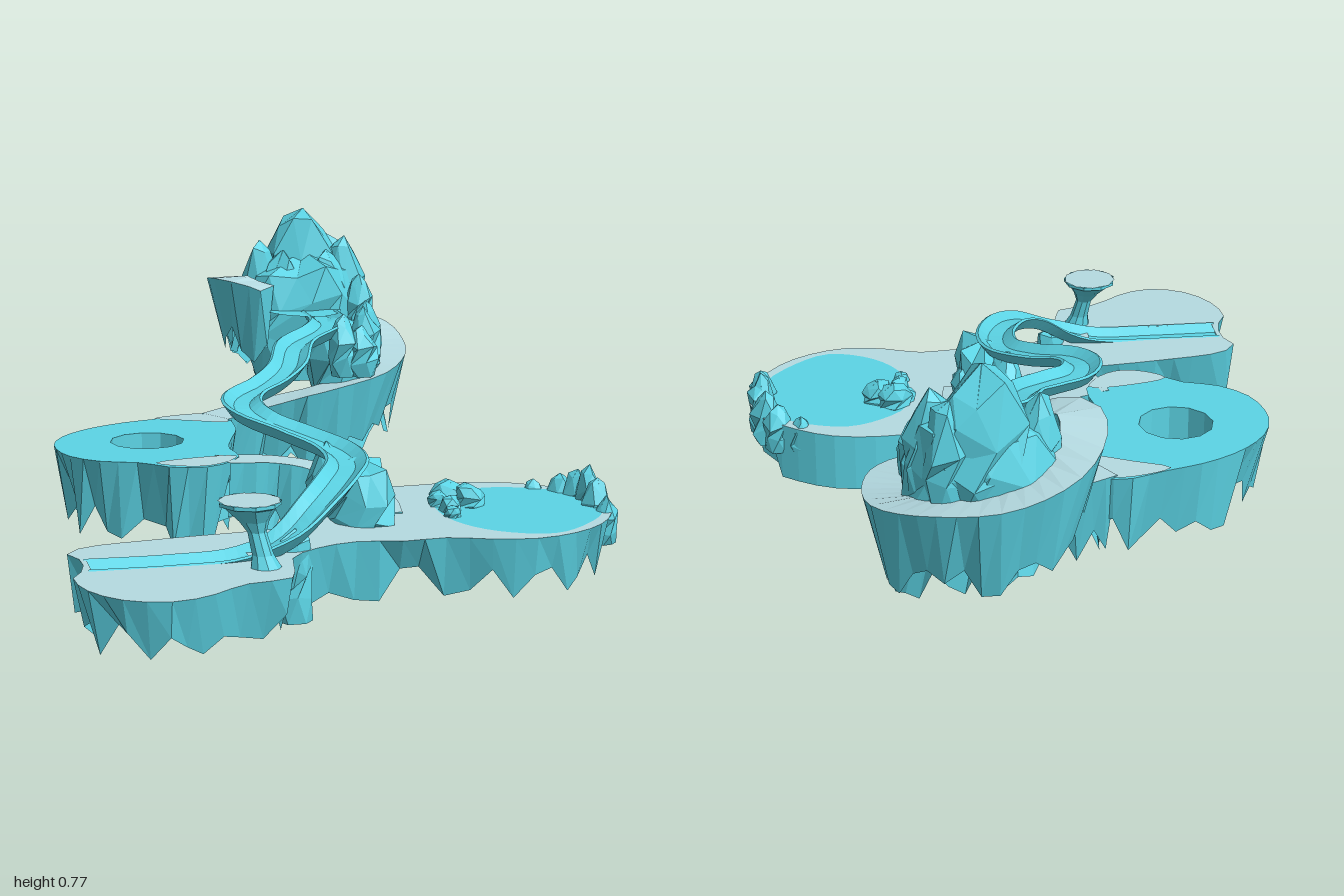
import * as THREE from 'three';

const make = (color) => new THREE.MeshStandardMaterial({ color, flatShading: true, side: THREE.DoubleSide });

export function createModel() {
  const model = new THREE.Group();
  const cyan = make(0x5cd5e6); cyan.name = 'cyanRock';
  const pale = make(0xb5dbe2); pale.name = 'paleSand';
  let seed = 7;
  const rand = () => (seed = (seed * 16807) % 2147483647) / 2147483647;
  const jit = (a) => (rand() * 2 - 1) * a;
  const V = (x, y, z) => new THREE.Vector3(x, y, z);

  function add(name, geo, mat, parent = model) {
    const m = new THREE.Mesh(geo, mat);
    m.name = name;
    parent.add(m);
    return m;
  }

  // Surface through rows of points
  function loft(rows, closed) {
    const n = rows[0].length, idx = [];
    for (let r = 0; r < rows.length - 1; r++) {
      for (let i = 0; i < (closed ? n : n - 1); i++) {
        const j = (i + 1) % n, a = r * n + i, b = r * n + j;
        idx.push(a, b, a + n, b, b + n, a + n);
      }
    }
    const g = new THREE.BufferGeometry().setFromPoints(rows.flat());
    g.setIndex(idx);
    g.computeVertexNormals();
    return g;
  }

  // Smooth closed outline from a few (x, z) pairs
  const outline = (pts, n) => new THREE.CatmullRomCurve3(
    pts.map(([x, z]) => V(x, 0, z)), true, 'centripetal').getSpacedPoints(n).slice(0, n);

  function plate(name, pts, y, mat, holes = []) {
    const flat = (a) => a.map((p) => new THREE.Vector2(p.x, -p.z));
    const s = new THREE.Shape(flat(pts));
    holes.forEach((h) => s.holes.push(new THREE.Path(flat(h))));
    const m = add(name, new THREE.ShapeGeometry(s).rotateX(-Math.PI / 2), mat);
    m.position.y = y;
  }

  // Jagged rock wall hanging below a closed outline, tapering inward
  function skirt(name, pts, y, low, high, taper, isEven = () => false) {
    const n = pts.length;
    const area = pts.reduce((s, p, i) => s + p.x * pts[(i + 1) % n].z - pts[(i + 1) % n].x * p.z, 0);
    const inset = (p, i, d) => {
      const t = pts[(i + 1) % n].clone().sub(pts[(i + n - 1) % n]).normalize();
      return V(p.x - t.z * d * Math.sign(area), 0, p.z + t.x * d * Math.sign(area));
    };
    const top = pts.map((p) => V(p.x, y, p.z));
    const bottom = pts.map((p, i) => {
      const even = isEven(p), q = inset(p, i, even ? 0 : taper * (0.5 + rand()));
      q.y = even ? low : (i % 3 === 0 ? low : low + (high - low) * rand()) + rand() * 0.015;
      return q;
    });
    add(name, loft([top, bottom], true), cyan);
  }

  // Path with a pale top and hanging rock sides; points are [x, y, z]
  function walkway(name, pts, half, depth, n, spread) {
    const g = new THREE.Group();
    g.name = name;
    model.add(g);
    const curve = new THREE.CatmullRomCurve3(pts.map((p) => V(...p)), false, 'centripetal');
    const L = [], R = [], LB = [], RB = [];
    for (let i = 0; i <= n; i++) {
      const p = curve.getPointAt(i / n), t = curve.getTangentAt(i / n);
      const s = V(-t.z, 0, t.x).normalize();
      L.push(p.clone().addScaledVector(s, -half));
      R.push(p.clone().addScaledVector(s, half));
      const drop = (k) => {
        const q = p.clone().addScaledVector(s, k * half * (spread + jit(0.2)));
        q.y = Math.max(0.02, p.y - depth * (0.65 + 0.5 * rand()));
        return q;
      };
      LB.push(drop(-1));
      RB.push(drop(1));
    }
    add(name + 'Top', loft([L, R], false), pale, g);
    add(name + 'LeftSide', loft([L, LB], false), cyan, g);
    add(name + 'RightSide', loft([R, RB], false), cyan, g);
    add(name + 'End', loft([[L[n], R[n]], [LB[n], RB[n]]], false), cyan, g);
  }

  // Faceted rock with an uneven pointed or blunt crown
  function crag(name, x, z, y0, y1, rx, rz, n = 9, blunt = 0.5) {
    const rows = [[0, 0.75], [0.3, 0.95], [0.6, 0.95], [0.85, blunt], [1, 0.02]].map(([t, f], r) =>
      Array.from({ length: n }, (_, i) => {
        const a = (i + (r % 2) * 0.5) / n * Math.PI * 2, k = f * (1 + jit(0.16));
        const y = y0 + (y1 - y0) * (t + (r && r < 4 ? jit(0.09) : 0));
        return V(x + Math.cos(a) * rx * k, y, z + Math.sin(a) * rz * k);
      }));
    add(name, loft(rows, true), cyan);
  }

  // Lower island: a beach on one side and a pond on the other
  const shore = outline([[-0.68, 0.57], [-0.64, 0.52], [-0.45, 0.48], [-0.2, 0.45], [-0.08, 0.43],
    [-0.04, 0.36], [-0.02, 0.25], [0.04, 0.15], [0.12, 0.08], [0.22, 0.09], [0.36, 0.08], [0.48, 0.1],
    [0.58, 0.16], [0.66, 0.24], [0.685, 0.36], [0.66, 0.46], [0.61, 0.55], [0.53, 0.62], [0.42, 0.66],
    [0.32, 0.65], [0.2, 0.61], [0.1, 0.62], [0, 0.6], [-0.1, 0.63], [-0.18, 0.7], [-0.2, 0.8],
    [-0.22, 0.87], [-0.33, 0.9], [-0.42, 0.97], [-0.5, 1], [-0.6, 0.97], [-0.67, 0.88],
    [-0.69, 0.77], [-0.665, 0.72], [-0.655, 0.63]], 72);
  const pond = outline([[0.25, 0.36], [0.27, 0.25], [0.33, 0.19], [0.42, 0.15], [0.52, 0.17], [0.6, 0.22],
    [0.65, 0.33], [0.64, 0.45], [0.58, 0.54], [0.48, 0.62], [0.42, 0.62], [0.33, 0.57], [0.27, 0.48]], 40);
  const trench = [[-0.643, 0.628], [-0.28, 0.622], [-0.28, 0.712], [-0.643, 0.722]].map(([x, z]) => V(x, 0, z));
  plate('lowerIslandTop', shore, 0.172, pale, [pond, trench]);
  plate('pondWater', pond, 0.172, cyan);
  skirt('lowerIslandRock', shore, 0.172, 0.02, 0.09, 0.03, (p) => p.x > 0.1 && p.z < 0.2);

  // Middle island with a round hole
  const ring = outline([[-0.63, -0.13], [-0.61, 0], [-0.54, 0.08], [-0.44, 0.12], [-0.38, 0.18], [-0.3, 0.2],
    [-0.24, 0.17], [-0.19, 0.09], [-0.2, 0], [-0.17, -0.12], [-0.14, -0.22], [-0.135, -0.31], [-0.13, -0.4],
    [-0.21, -0.43], [-0.32, -0.395], [-0.43, -0.36], [-0.53, -0.3], [-0.6, -0.22]], 38);
  const hole = Array.from({ length: 12 }, (_, i) =>
    V(-0.39 + 0.095 * Math.cos(i * Math.PI / 6), 0, -0.13 + 0.095 * Math.sin(i * Math.PI / 6)));
  plate('middleIslandTop', ring, 0.272, cyan, [hole]);
  skirt('middleIslandRock', ring, 0.272, 0.06, 0.15, 0.04);
  skirt('middleIslandHole', hole, 0.272, 0.12, 0.13, 0);
  plate('backSandPatch', outline([[-0.335, -0.385], [-0.25, -0.34], [-0.15, -0.3], [-0.14, -0.33],
    [-0.14, -0.4], [-0.21, -0.425]], 20), 0.275, pale);
  plate('frontSandPatch', outline([[-0.41, 0.14], [-0.34, 0.11], [-0.2, 0.1], [-0.24, 0.17], [-0.3, 0.2], [-0.37, 0.18]], 20), 0.275, pale);

  // Ramp down to the pond and spiral path up round the peak
  walkway('ramp', [[-0.24, 0.274, 0.13], [-0.1, 0.26, 0.1], [0, 0.24, 0.11], [0.08, 0.21, 0.16],
    [0.12, 0.185, 0.25], [0.11, 0.175, 0.36]], 0.05, 0.18, 16, 0.5);
  walkway('spiralPath', [[-0.17, 0.277, -0.37], [-0.08, 0.285, -0.425], [0.04, 0.305, -0.445], [0.15, 0.33, -0.44],
    [0.27, 0.36, -0.46], [0.35, 0.39, -0.56], [0.378, 0.415, -0.7], [0.36, 0.445, -0.82], [0.27, 0.475, -0.91],
    [0.13, 0.5, -0.95], [0, 0.54, -0.9], [-0.06, 0.585, -0.8], [-0.05, 0.6, -0.7], [0.03, 0.575, -0.65]], 0.053, 0.21, 40, 0.1);

  // Rocky peak
  crag('peakBody', 0.16, -0.79, 0.3, 0.66, 0.18, 0.13, 12, 0.85);
  crag('peakShoulder', 0.23, -0.58, 0.24, 0.5, 0.1, 0.16, 11, 0.85);
  [[0.17, -0.83, 0.775, 0.11], [0.04, -0.81, 0.69, 0.06], [0.28, -0.78, 0.7, 0.06], [0.24, -0.85, 0.7, 0.07],
    [0.1, -0.77, 0.665, 0.07], [0.22, -0.75, 0.665, 0.07], [0.305, -0.7, 0.6, 0.04]]
    .forEach(([x, z, y, r], i) => crag('peakSpire' + (i + 1), x, z, 0.42, y, r, r * 0.85, 7, 0.6));
  [[0.27, -0.5, 0.54], [0.2, -0.44, 0.53], [0.3, -0.6, 0.54], [0.25, -0.43, 0.5]]
    .forEach(([x, z, y], i) => crag('shoulderRock' + (i + 1), x, z, 0.36, y, 0.045, 0.05, 6));
  plate('springPool', outline([[0.04, -0.7], [0.06, -0.62], [0.16, -0.56], [0.22, -0.6], [0.24, -0.7]], 16), 0.505, cyan);

  // Water slide: a channel section swept along its course, sunk into the beach at the end
  const course = new THREE.CatmullRomCurve3([[0.18, 0.51, -0.65], [0.18, 0.505, -0.54], [0.14, 0.5, -0.45],
    [0.05, 0.48, -0.36], [0, 0.445, -0.23], [-0.07, 0.42, -0.14], [-0.145, 0.405, -0.065], [-0.168, 0.395, 0.02],
    [-0.14, 0.38, 0.1], [-0.06, 0.355, 0.18], [0.01, 0.335, 0.28], [0.015, 0.325, 0.39], [-0.03, 0.315, 0.5],
    [-0.1, 0.28, 0.59], [-0.19, 0.22, 0.65], [-0.3, 0.182, 0.667], [-0.45, 0.175, 0.675], [-0.65, 0.175, 0.675]]
    .map((p) => V(...p)), false, 'centripetal');
  const section = [[-0.053, -0.004], [-0.046, 0], [-0.02, -0.02], [0.02, -0.02], [0.046, 0], [0.053, -0.004], [0.03, -0.036], [-0.03, -0.036]];
  const rows = [];
  for (let i = 0; i <= 70; i++) {
    const p = course.getPointAt(i / 70), t = course.getTangentAt(i / 70);
    const s = V(-t.z, 0, t.x).normalize();
    rows.push(section.map(([u, v]) => p.clone().addScaledVector(s, u).add(V(0, v, 0))));
  }
  add('waterSlide', loft(rows, true), cyan);

  // Rocks holding up the slide
  crag('slideSupport', 0.05, 0.35, 0.12, 0.315, 0.085, 0.15, 11, 0.75);
  crag('slideSupportFoot', 0.1, 0.3, 0.12, 0.27, 0.05, 0.09, 7);
  crag('slideSupportBack', 0.0, 0.23, 0.1, 0.33, 0.05, 0.06, 7, 0.7);
  crag('slideLeg', -0.165, 0.635, 0, 0.22, 0.05, 0.035, 6, 0.8);

  // Rocks round the pond
  [[0.3, 0.28, 0.23, 0.05], [0.34, 0.31, 0.225, 0.045], [0.27, 0.3, 0.21, 0.03], [0.28, 0.36, 0.21, 0.03], [0.27, 0.42, 0.2, 0.022]]
    .forEach(([x, z, y, r], i) => crag('pondRock' + (i + 1), x, z, 0.15, y, r, r, 6, 0.7));
  [[0.55, 0.175, 0.195, 0.035], [0.61, 0.21, 0.215, 0.042], [0.64, 0.26, 0.235, 0.042], [0.65, 0.32, 0.26, 0.04],
    [0.65, 0.38, 0.24, 0.038], [0.652, 0.44, 0.21, 0.033]]
    .forEach(([x, z, y, r], i) => crag('edgeRock' + (i + 1), x, z, 0.09, y, r, r * 1.1, 6));

  // Flared table on the beach, its stem leaning outward at the foot
  const profile = [[0.038, 0.165], [0.025, 0.2], [0.022, 0.25], [0.035, 0.275], [0.06, 0.305], [0.072, 0.31], [0.072, 0.319]];
  const stem = new THREE.LatheGeometry(profile.map((p) => new THREE.Vector2(...p)), 9);
  const pos = stem.attributes.position;
  for (let i = 0; i < pos.count; i++) {
    const lean = Math.max(0, 0.31 - pos.getY(i)) * 0.22;
    pos.setXYZ(i, pos.getX(i) + lean, pos.getY(i), pos.getZ(i) + lean);
  }
  stem.computeVertexNormals();
  const table = new THREE.Group();
  table.name = 'table';
  table.position.set(-0.29, 0, 0.74);
  model.add(table);
  add('tableStem', stem, cyan, table);
  add('tableTop', new THREE.CircleGeometry(0.072, 9).rotateX(-Math.PI / 2).rotateY(Math.PI / 2), pale, table).position.y = 0.319;

  return model;
}
